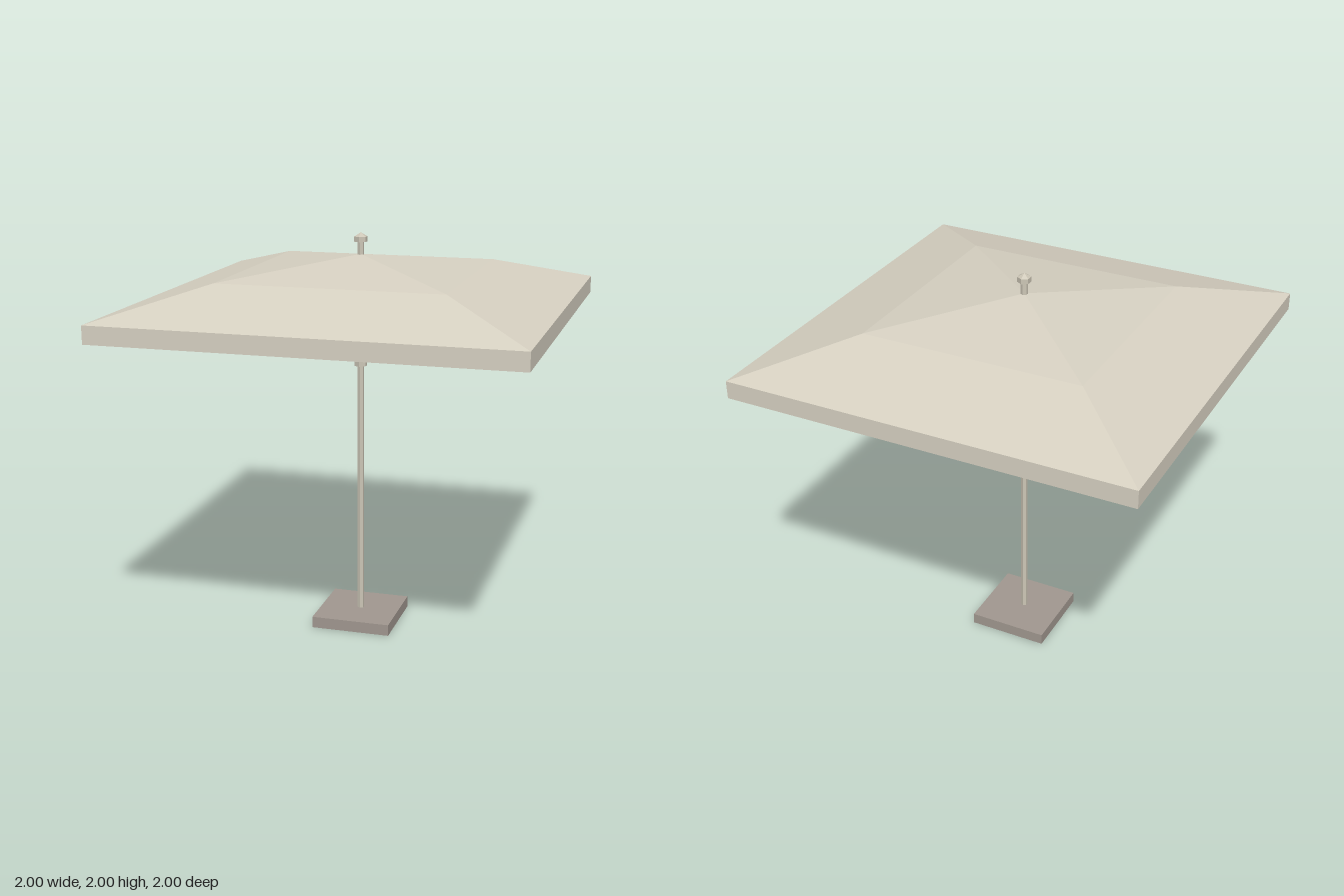
import * as THREE from 'three';

const fabric = new THREE.MeshStandardMaterial({ name: 'beigeFabric', color: 0xd6d0c1, flatShading: true, side: THREE.DoubleSide });
const metal = new THREE.MeshStandardMaterial({ name: 'paleMetal', color: 0xcbc5b5, flatShading: true });
const stone = new THREE.MeshStandardMaterial({ name: 'greyStone', color: 0xa0978f, flatShading: true, side: THREE.DoubleSide });

function addMesh(parent, name, geometry, material) {
  const flat = geometry.toNonIndexed();
  flat.computeVertexNormals();
  const mesh = new THREE.Mesh(flat, material);
  mesh.name = name;
  parent.add(mesh);
  return mesh;
}

// Square shell from [half width, height] pairs, listed bottom to top
function squareShell(profile) {
  const points = profile.map(([half, y]) => new THREE.Vector2(half * Math.SQRT2, y));
  return new THREE.LatheGeometry(points, 4, Math.PI / 4);
}

// Hexagonal upright between two heights
function upright(parent, name, radius, y0, y1) {
  addMesh(parent, name, new THREE.CylinderGeometry(radius, radius, y1 - y0, 6), metal).position.y = (y0 + y1) / 2;
}

// Thin rod between two points
function rod(parent, name, a, b, radius) {
  const dir = b.clone().sub(a);
  const mesh = addMesh(parent, name, new THREE.CylinderGeometry(radius, radius, dir.length(), 4), metal);
  mesh.position.copy(a).add(b).multiplyScalar(0.5);
  mesh.quaternion.setFromUnitVectors(new THREE.Vector3(0, 1, 0), dir.normalize());
}

export function createModel() {
  const model = new THREE.Group();
  model.name = 'parasol';

  // Hollow base, open underneath
  addMesh(model, 'base', squareShell([[0.2, 0], [0.2, 0.057], [0, 0.057]]), stone);

  // Pole and sliding collar
  upright(model, 'pole', 0.017, 0.05, 1.96);
  upright(model, 'collar', 0.032, 1.34, 1.42);

  // Finial
  const finial = [[0, 1.955], [0.033, 1.955], [0.033, 1.98], [0, 2]].map(([r, y]) => new THREE.Vector2(r, y));
  addMesh(model, 'finial', new THREE.LatheGeometry(finial, 6), metal);

  // Canopy with two slopes and a hanging valance
  addMesh(model, 'canopy', squareShell([[1, 1.59], [1, 1.677], [0.55, 1.813], [0, 1.895]]), fabric);

  // Ribs and struts along the diagonals
  for (const sx of [-1, 1]) {
    for (const sz of [-1, 1]) {
      const at = (d, y) => new THREE.Vector3(sx * d, y, sz * d);
      rod(model, 'innerRib', at(0, 1.88), at(0.545, 1.8), 0.008);
      rod(model, 'outerRib', at(0.545, 1.8), at(0.985, 1.667), 0.008);
      rod(model, 'strut', at(0.018, 1.39), at(0.5, 1.81), 0.006);
    }
  }
  return model;
}
